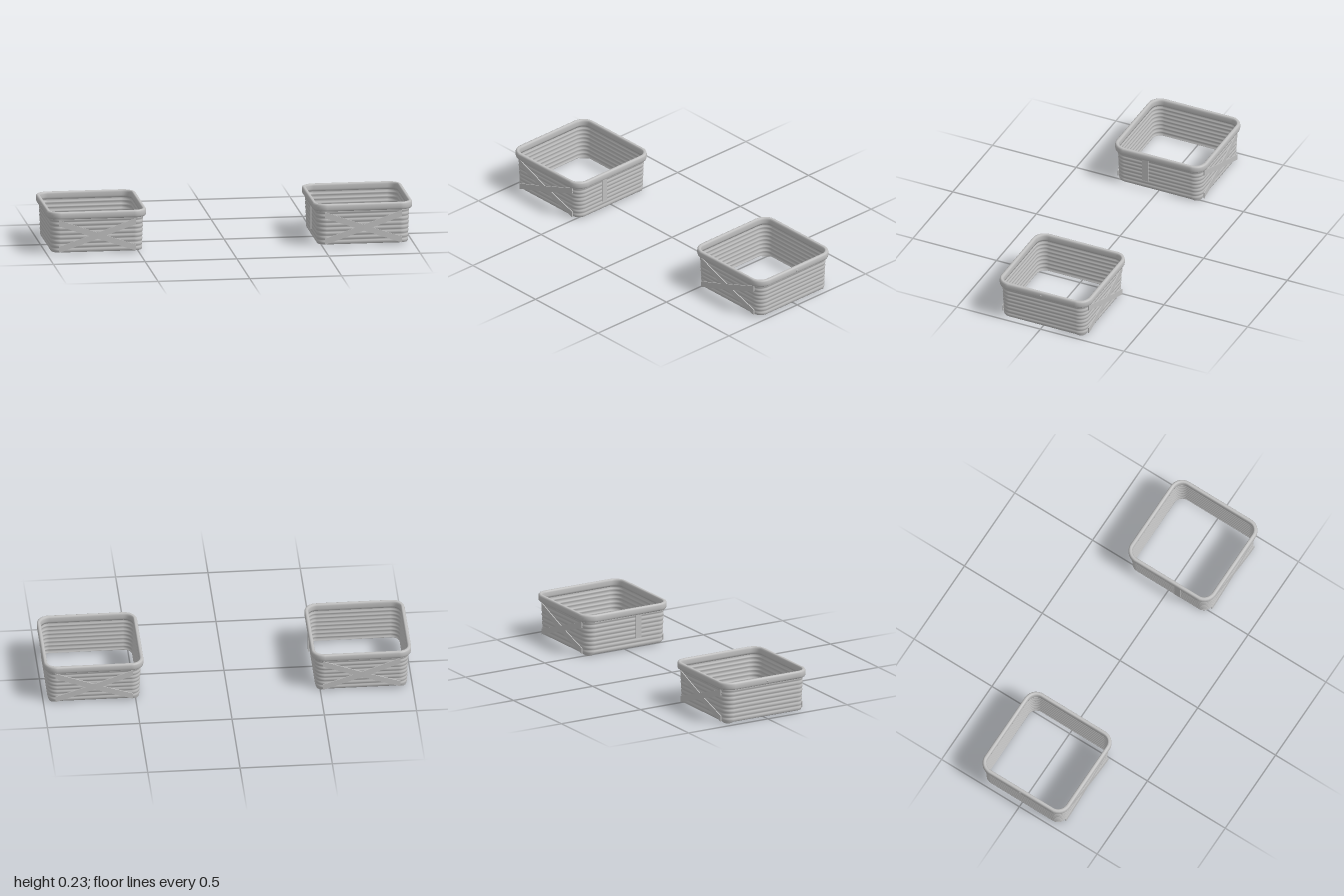
import * as THREE from 'three';

const grey = new THREE.MeshStandardMaterial({ color: 0xc0c0c0 });
grey.name = 'light grey';

function part(name, geometry, parent) {
  const mesh = new THREE.Mesh(geometry, grey);
  mesh.name = name;
  parent.add(mesh);
  return mesh;
}

// Sweeps a closed [halfWidth, y] profile around a rounded square
function squareRing(profile, droop = 0) {
  const steps = 7;
  const loop = 4 * (steps + 1);
  const pos = [];
  const index = [];
  for (const [half, y] of profile) {
    const radius = 0.05 + (half - 0.25);
    for (let c = 0; c < 4; c++) {
      const mid = Math.PI / 4 + c * Math.PI / 2;
      const cx = Math.sign(Math.cos(mid)) * (half - radius);
      const cz = Math.sign(Math.sin(mid)) * (half - radius);
      for (let s = 0; s <= steps; s++) {
        const a = (c + s / steps) * Math.PI / 2;
        // the lowest edge sags a little at the back corners
        const sag = y < 0.012 && c >= 2 ? droop * Math.sin(Math.PI * s / steps) : 0;
        pos.push(cx + radius * Math.cos(a), y - sag, cz + radius * Math.sin(a));
      }
    }
  }
  const n = profile.length;
  for (let j = 0; j < n; j++) {
    for (let i = 0; i < loop; i++) {
      const i2 = (i + 1) % loop;
      const j2 = (j + 1) % n;
      const a = j * loop + i, b = j * loop + i2;
      const c = j2 * loop + i, d = j2 * loop + i2;
      index.push(a, c, b, b, c, d);
    }
  }
  const g = new THREE.BufferGeometry();
  g.setAttribute('position', new THREE.Float32BufferAttribute(pos, 3));
  g.setIndex(index);
  g.computeVertexNormals();
  return g;
}

// Thin wall with shallow ribs, slightly wider at the top
function wallProfile() {
  const ribs = 8, perRib = 6, count = ribs * perRib;
  const outer = [], inner = [];
  for (let k = 0; k <= count; k++) {
    const t = k / count;
    const y = 0.009 + t * 0.193;
    const half = 0.246 + 0.008 * t + 0.0035 * Math.abs(Math.sin(Math.PI * ribs * t));
    outer.push([half, y]);
    inner.unshift([half - 0.002, y]);
  }
  return outer.concat(inner);
}

// Thin diagonal strap with upright ends, bowed outwards
function strapGeometry(slope) {
  const g = new THREE.BoxGeometry(0.42, 0.033, 0.005, 16, 1, 1);
  const p = g.attributes.position;
  for (let i = 0; i < p.count; i++) {
    const x = p.getX(i);
    const bow = 0.005 * (1 - (x / 0.21) ** 2);
    p.setXYZ(i, x, p.getY(i) + 0.1 + slope * x, p.getZ(i) + 0.2565 + bow);
  }
  g.computeVertexNormals();
  return g;
}

function createBasket(side) {
  const basket = new THREE.Group();
  basket.name = side > 0 ? 'leftBasket' : 'rightBasket';
  basket.position.x = side * 0.725;

  part('ribbedWall', squareRing(wallProfile(), 0.008), basket);

  // Rounded band around the top edge
  const rim = [
    [0.265, 0.195], [0.269, 0.198], [0.2715, 0.206], [0.272, 0.216],
    [0.2715, 0.226], [0.269, 0.233], [0.264, 0.2355], [0.256, 0.2355],
    [0.252, 0.232], [0.25, 0.224], [0.25, 0.206], [0.252, 0.195],
  ];
  part('rim', squareRing(rim), basket);

  // Crossed straps on front and back
  for (const [face, turn] of [['front', 0], ['back', Math.PI]]) {
    for (const slope of [0.35, -0.35]) {
      part(face + (slope > 0 ? 'RisingStrap' : 'FallingStrap'), strapGeometry(slope), basket).rotation.y = turn;
    }
  }

  // Hanging tab on the inner side, knob on the outer side
  const tab = part('hangingTab', new THREE.BoxGeometry(0.005, 0.135, 0.035), basket);
  tab.position.set(-side * 0.262, 0.13, 0.07);
  const knob = part('knob', new THREE.SphereGeometry(0.008, 16, 12), basket);
  knob.position.set(side * 0.267, 0.215, 0);
  return basket;
}

export function createModel() {
  const model = new THREE.Group();
  model.name = 'pairOfBaskets';
  for (const side of [1, -1]) model.add(createBasket(side));
  return model;
}
